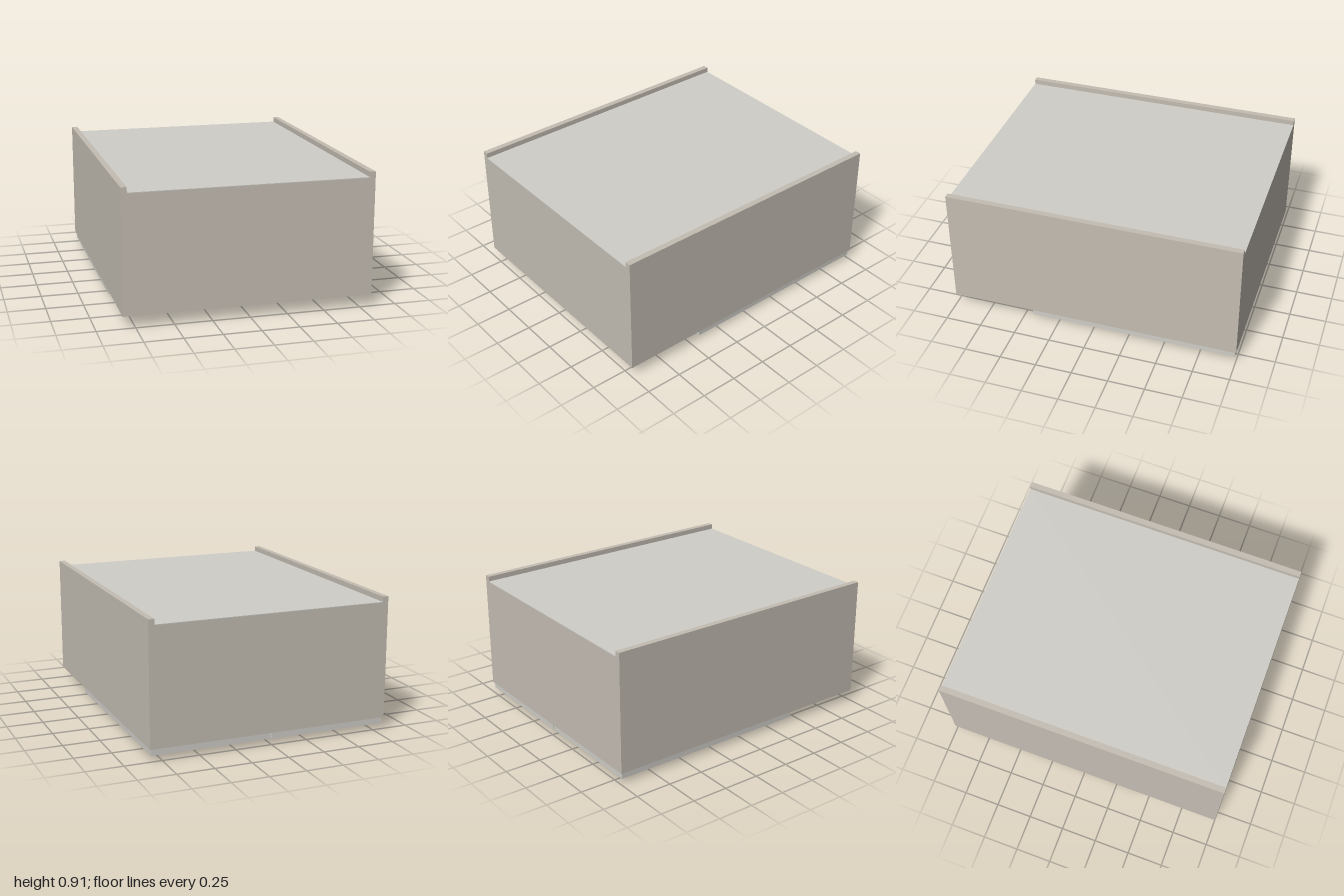
import * as THREE from 'three';

const shell = new THREE.MeshStandardMaterial({ color: 0xc4bdb3 });
const panel = new THREE.MeshStandardMaterial({ color: 0xcfcec8 });
const metal = new THREE.MeshStandardMaterial({ color: 0x808086 });

// Box given by its minimum and maximum along each axis
function slab(name, material, [x0, x1], [y0, y1], [z0, z1]) {
  const mesh = new THREE.Mesh(new THREE.BoxGeometry(x1 - x0, y1 - y0, z1 - z0), material);
  mesh.position.set((x0 + x1) / 2, (y0 + y1) / 2, (z0 + z1) / 2);
  mesh.name = name;
  return mesh;
}

// Range mirrored to the other side when s is -1
const mirror = (s, a, b) => (s > 0 ? [a, b] : [-b, -a]);

export function createModel() {
  const model = new THREE.Group();
  model.name = 'cabinet';
  const inner = [-0.79, 0.79];

  // Hollow carcass, open underneath
  model.add(slab('frontWall', shell, inner, [0.08, 0.87], [0.96, 1]));
  model.add(slab('backWall', shell, inner, [0.08, 0.87], [-1, -0.96]));
  model.add(slab('ceiling', shell, inner, [0.835, 0.87], [-0.96, 0.96]));
  model.add(slab('topPanel', panel, inner, [0.87, 0.875], [-1, 1]));

  for (const s of [1, -1]) {
    const side = s > 0 ? 'left' : 'right';
    // Side walls rise above the top as low rails
    model.add(slab(side + 'SideWall', shell, mirror(s, 0.79, 0.83), [0.08, 0.91], [-1, 1]));

    // Door under the carcass with its bar handle
    const door = new THREE.Group();
    door.name = side + 'Door';
    door.add(slab('doorPanel', panel, mirror(s, 0.006, 0.82), [0.037, 0.08], [-0.99, 0.43]));
    door.add(slab('doorHandle', metal, mirror(s, 0.28, 0.545), [0, 0.037], [0.215, 0.245]));
    model.add(door);
  }
  return model;
}
